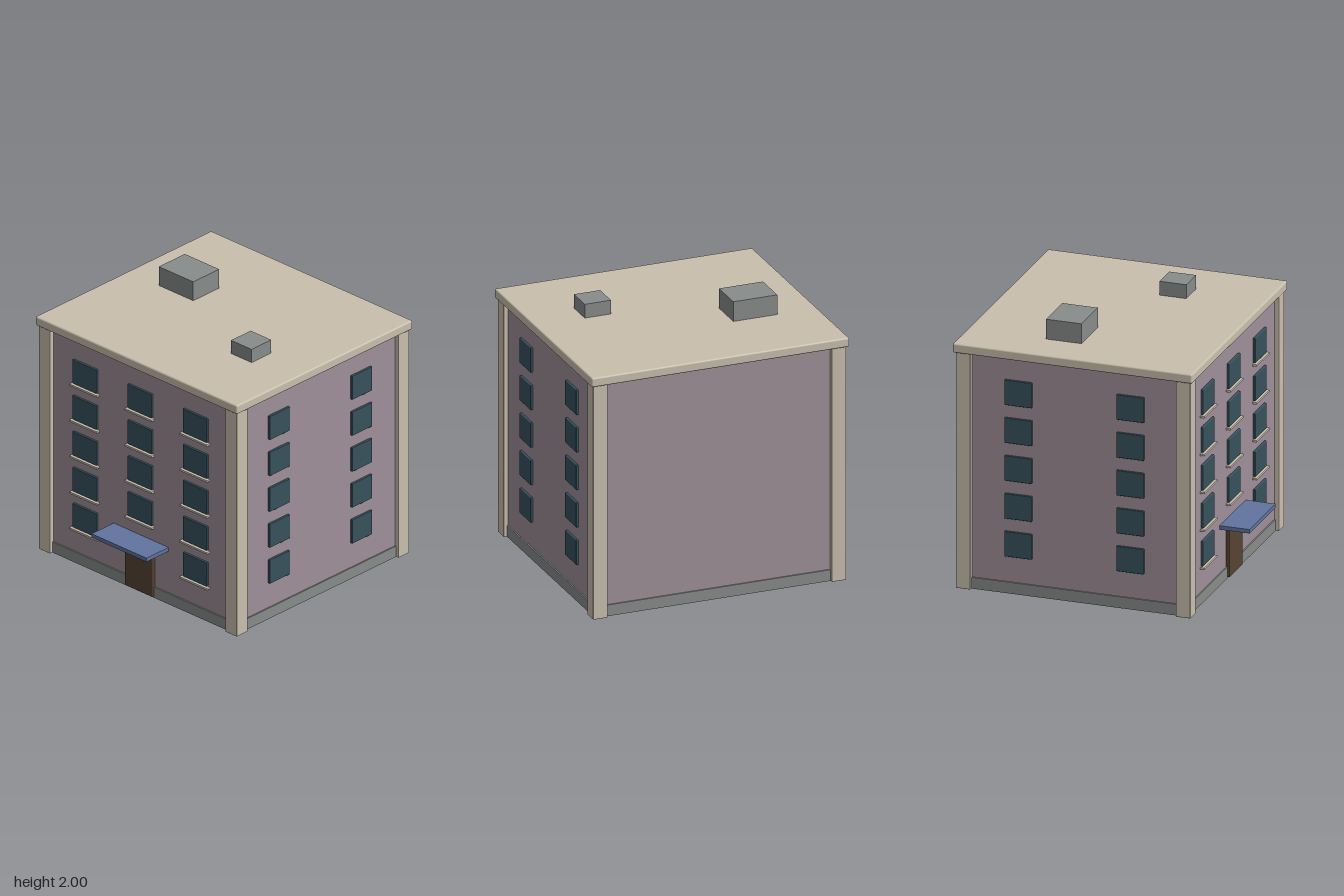
import * as THREE from 'three';
import { RoundedBoxGeometry } from 'three/addons/geometries/RoundedBoxGeometry.js';

const mat = (name, color) => {
  const m = new THREE.MeshStandardMaterial({ color });
  m.name = name;
  return m;
};

export function createModel() {
  const cream = mat('cream stone', 0xc9bfae);
  const mauve = mat('mauve render', 0x9f9099);
  const grey = mat('grey concrete', 0x888c8a);
  const glass = mat('dark teal glass', 0x37525c);
  const brown = mat('brown door', 0x564433);
  const blue = mat('blue canopy', 0x6173a0);

  const building = new THREE.Group();
  building.name = 'apartmentBuilding';

  // Box by size and centre; a bevel softens its edges
  const box = (name, material, [w, h, d], [x, y, z], bevel = 0) => {
    const geometry = bevel
      ? new RoundedBoxGeometry(w, h, d, 2, bevel)
      : new THREE.BoxGeometry(w, h, d);
    const mesh = new THREE.Mesh(geometry, material);
    mesh.name = name;
    mesh.position.set(x, y, z);
    building.add(mesh);
    return mesh;
  };

  const cz = -0.085;      // centre of the block in z
  const wallX = 0.93;     // half width of the walls
  const wallZ = 0.845;    // half depth of the walls
  const front = cz + wallZ;

  // Main block, plinth and roof slab
  box('walls', mauve, [wallX * 2, 1.75, wallZ * 2], [0, 0.915, cz]);
  box('plinth', grey, [1.88, 0.085, 1.71], [0, 0.0425, cz]);
  box('roofSlab', cream, [1.965, 0.07, 1.795], [0, 1.815, cz], 0.012);

  // Corner pillars
  for (const sx of [-1, 1])
    for (const sz of [-1, 1])
      box('cornerPillar', cream, [0.11, 1.79, 0.11], [sx * 0.91, 0.895, cz + sz * 0.825], 0.004);

  // Windows on five floors
  for (let floor = 0; floor < 5; floor++) {
    const y = 0.373 + floor * 0.286;

    // Front windows with sills; the door takes the middle of the ground floor
    for (const x of [-0.537, 0, 0.537]) {
      if (floor === 0 && x === 0) continue;
      box('frontWindow', glass, [0.235, 0.19, 0.03], [x, y, front + 0.002], 0.005);
      box('windowSill', cream, [0.265, 0.015, 0.04], [x, y - 0.105, front + 0.012]);
    }

    // Side windows
    for (const sx of [-1, 1])
      for (const dz of [-0.42, 0.42])
        box('sideWindow', glass, [0.03, 0.19, 0.205], [sx * (wallX + 0.002), y, cz + dz], 0.005);
  }

  // Entrance
  box('door', brown, [0.27, 0.39, 0.04], [0, 0.203, front + 0.006], 0.007);
  box('doorCanopy', blue, [0.535, 0.03, 0.235], [0, 0.43, 0.8675]);

  // Rooftop units
  box('largeRoofUnit', grey, [0.335, 0.155, 0.265], [-0.508, 1.9225, -0.26]);
  box('smallRoofUnit', grey, [0.2, 0.11, 0.2], [0.503, 1.9, 0.165]);

  return building;
}
